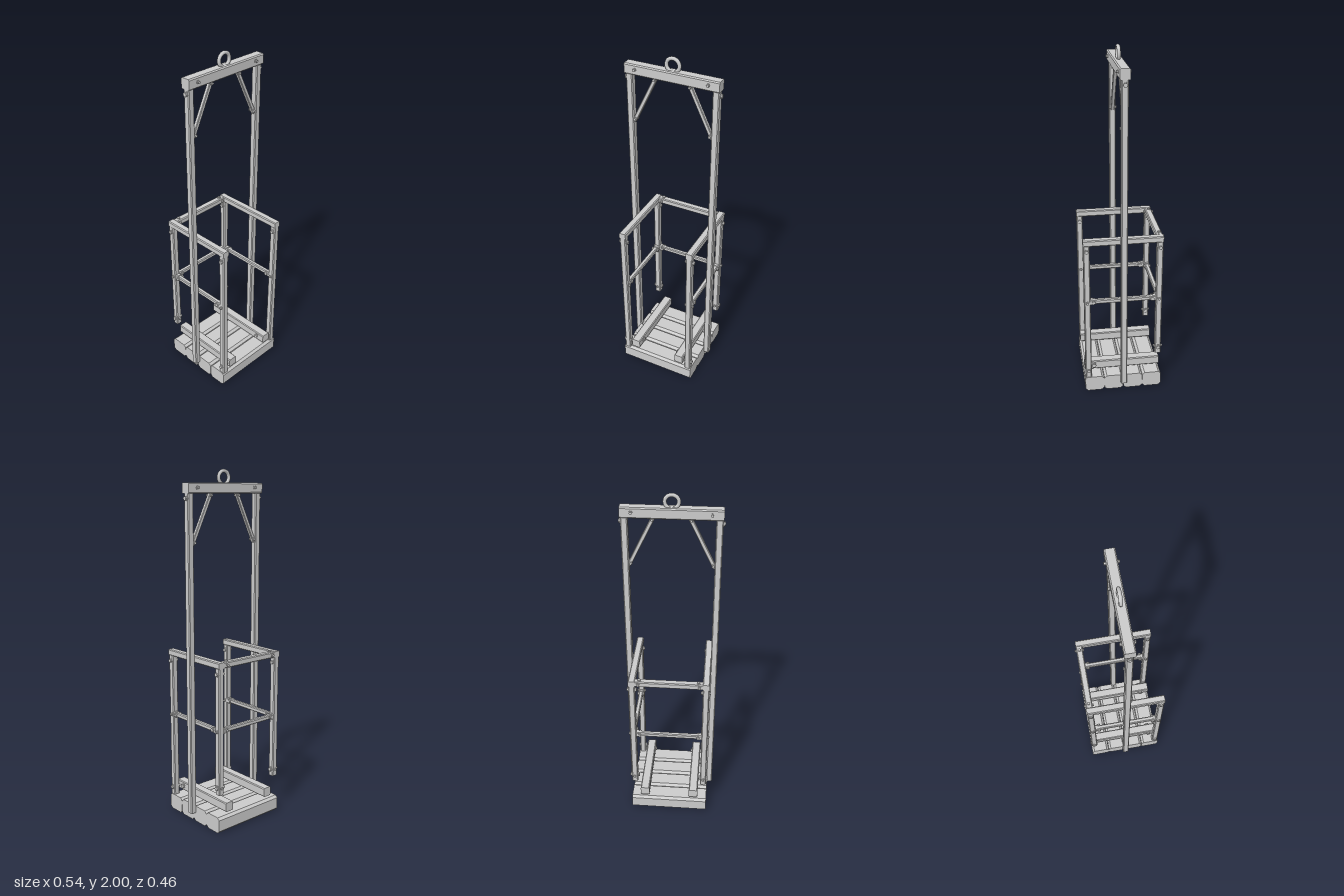
import * as THREE from 'three';

const grey = new THREE.MeshStandardMaterial({ color: 0xcccccc, flatShading: true });
const smooth = new THREE.MeshStandardMaterial({ color: 0xcccccc });
const V = (x, y, z) => new THREE.Vector3(x, y, z);

// Chamfered timber running from a to b
function bar(name, a, b, w, h = w, c = 0.005) {
  const x = w / 2, y = h / 2;
  const section = new THREE.Shape([
    [x - c, -y], [x, -y + c], [x, y - c], [x - c, y],
    [-x + c, y], [-x, y - c], [-x, -y + c], [-x + c, -y],
  ].map(([u, v]) => new THREE.Vector2(u, v)));
  const geo = new THREE.ExtrudeGeometry(section, { depth: a.distanceTo(b), bevelEnabled: false });
  const mesh = new THREE.Mesh(geo, grey);
  mesh.name = name;
  mesh.position.copy(a);
  mesh.lookAt(b);
  return mesh;
}

// Washer and hex head standing on a surface at p, pointing along dir
function bolt(p, dir, r = 0.011) {
  const g = new THREE.Group();
  g.name = 'bolt';
  const washer = new THREE.Mesh(new THREE.CylinderGeometry(r * 1.3, r * 1.3, 0.003, 10), grey);
  washer.name = 'washer';
  washer.position.y = 0.001;
  const head = new THREE.Mesh(new THREE.CylinderGeometry(r, r, 0.009, 6), grey);
  head.name = 'boltHead';
  head.position.y = 0.006;
  g.add(washer, head);
  g.position.copy(p);
  g.quaternion.setFromUnitVectors(V(0, 1, 0), dir);
  return g;
}

export function createModel() {
  const model = new THREE.Group();
  model.name = 'liftCage';
  const X = V(1, 0, 0), Y = V(0, 1, 0), Z = V(0, 0, 1);

  // Matching heads on both ends of a through bolt
  const throughBolt = (p, axis, half, r) => {
    for (const s of [-1, 1])
      model.add(bolt(p.clone().addScaledVector(axis, s * half), axis.clone().multiplyScalar(s), r));
  };

  // Floor planks
  for (let i = 0; i < 4; i++) {
    const z = -0.171 + i * 0.114;
    model.add(bar('floorPlank', V(-0.23, 0.048, z), V(0.23, 0.048, z), 0.112, 0.094, 0.014));
  }

  // Top beam and lifting ring
  model.add(bar('topBeam', V(-0.265, 1.898, 0), V(0.265, 1.898, 0), 0.056, 0.058, 0.006));
  const ring = new THREE.Mesh(new THREE.TorusGeometry(0.036, 0.01, 10, 28), smooth);
  ring.name = 'liftingRing';
  ring.position.y = 1.954;
  model.add(ring);

  for (const s of [-1, 1]) {
    const out = V(s, 0, 0);

    // Tall hanger posts with diagonal braces
    model.add(bar('hangerPost', V(s * 0.243, 0.055, 0), V(s * 0.243, 1.872, 0), 0.037));
    model.add(bar('brace', V(s * 0.093, 1.872, 0), V(s * 0.226, 1.598, 0), 0.021, 0.021, 0.003));
    throughBolt(V(s * 0.217, 1.612, 0), Z, 0.011, 0.008);
    throughBolt(V(s * 0.1, 1.86, 0), Z, 0.011, 0.007);
    throughBolt(V(s * 0.205, 1.9, 0), Z, 0.028, 0.008);
    model.add(bolt(V(s * 0.261, 1.845, 0), out, 0.012));

    // Runners lying over the planks
    const rx = s * 0.149;
    model.add(bar('floorRunner', V(rx, 0.142, -0.222), V(rx, 0.142, 0.225), 0.054));
    throughBolt(V(rx, 0.142, 0.17), X, 0.026, 0.013);

    // Cage corner posts
    const px = s * 0.208;
    model.add(bar('frontPost', V(px, 0.09, 0.206), V(px, 0.957, 0.206), 0.036));
    model.add(bar('backPost', V(px, 0.23, -0.206), V(px, 0.957, -0.206), 0.036));
    for (const z of [-0.206, 0.206]) {
      throughBolt(V(px, 0.925, z), X, 0.017);
      throughBolt(V(px, 0.6, z), X, 0.017, 0.008);
    }
    throughBolt(V(px, 0.27, -0.206), X, 0.017, 0.012);
    throughBolt(V(px, 0.27, -0.206), Z, 0.016, 0.008);
    throughBolt(V(px, 0.14, 0.206), X, 0.017);

    // Side rails
    model.add(bar('sideTopRail', V(px, 0.973, -0.225), V(px, 0.973, 0.225), 0.04, 0.036));
    model.add(bar('sideMidRail', V(px, 0.602, -0.19), V(px, 0.602, 0.19), 0.026));
    for (const z of [-0.166, 0.17]) {
      throughBolt(V(px, 0.602, z), X, 0.012, 0.011);
      model.add(bar('railSocket', V(px, 0.602, z * 1.13), V(px, 0.602, z * 1.03), 0.034));
    }

    // Back rail fixings
    model.add(bolt(V(s * 0.165, 0.988, -0.207), Y, 0.009));
    throughBolt(V(s * 0.17, 0.973, -0.207), Z, 0.017, 0.008);
    throughBolt(V(s * 0.17, 0.602, -0.206), Z, 0.012, 0.009);
    model.add(bar('railSocket', V(s * 0.19, 0.602, -0.206), V(s * 0.176, 0.602, -0.206), 0.034));
  }

  // Back rails
  model.add(bar('backTopRail', V(-0.19, 0.973, -0.206), V(0.19, 0.973, -0.206), 0.038, 0.034));
  model.add(bar('backMidRail', V(-0.19, 0.602, -0.206), V(0.19, 0.602, -0.206), 0.026));

  return model;
}
